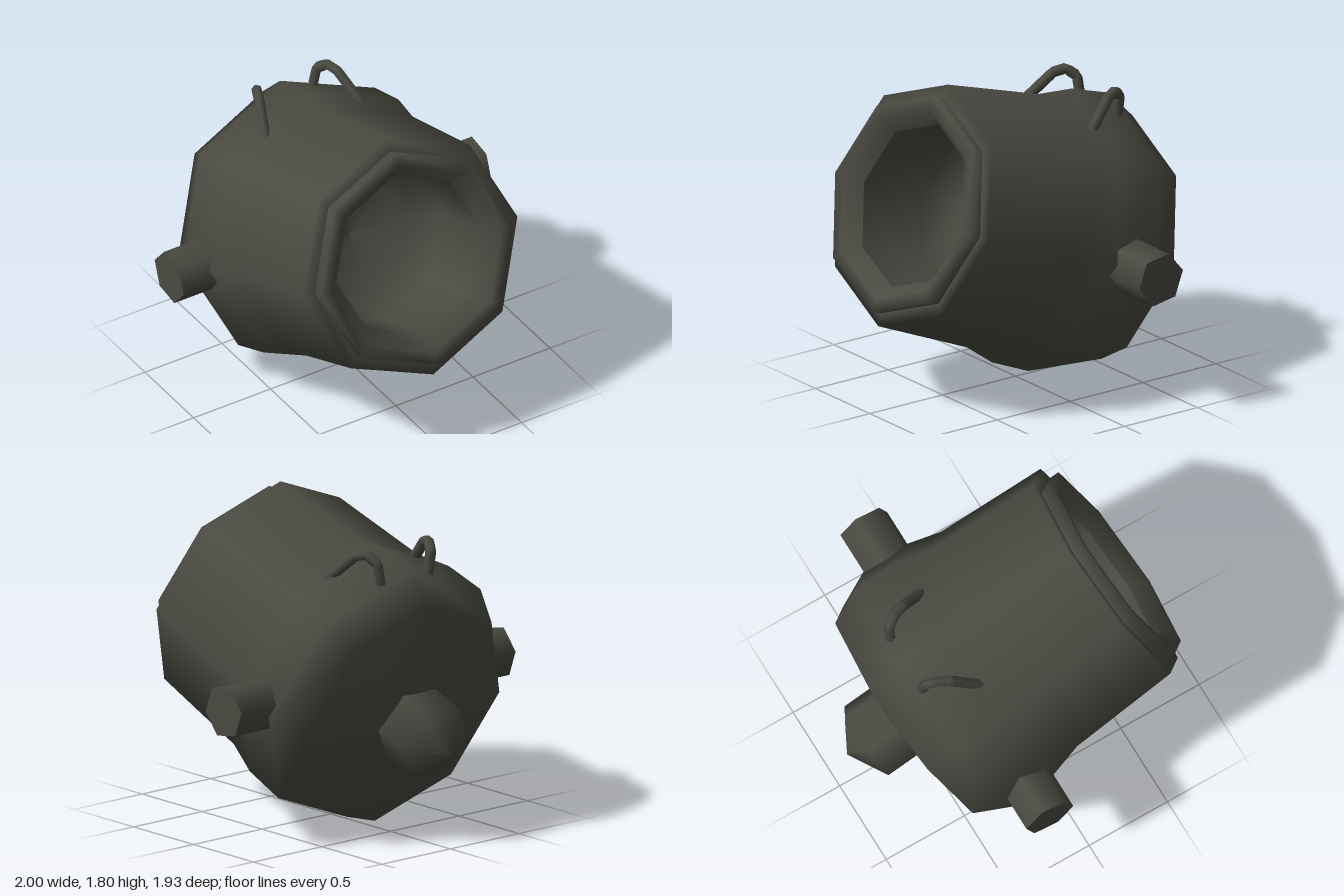
import * as THREE from 'three';

export function createModel() {
  const model = new THREE.Group();
  const iron = new THREE.MeshStandardMaterial({ color: 0x4a4a42 });
  iron.name = 'dark iron';
  const centreX = -0.025;

  const add = (parent, name, geometry) => {
    const mesh = new THREE.Mesh(geometry, iron);
    mesh.name = name;
    parent.add(mesh);
    return mesh;
  };
  // Profile points are [radius, distance along the barrel axis]
  const lathe = (points, sides, start = 0) =>
    new THREE.LatheGeometry(points.map(p => new THREE.Vector2(...p)), sides, start);

  // Barrel group: local y runs along the barrel, tilted 20 degrees upward
  const barrel = new THREE.Group();
  barrel.name = 'barrel';
  barrel.position.set(centreX, 0.68, -0.58);
  barrel.rotation.x = THREE.MathUtils.degToRad(70);
  model.add(barrel);

  // Eight-sided shell with a shallow cone at the back and a step at the front
  add(barrel, 'barrelShell', lathe([
    [0, -0.1], [0.2, -0.08], [0.7, 0], [0.803, 0.213], [0.79, 0.48],
    [0.73, 0.69], [0.697, 1.346], [0.62, 1.35],
  ], 8));
  add(barrel, 'muzzleLip', lathe([[0.622, 1.345], [0.622, 1.42], [0.55, 1.42], [0.47, 1.33]], 8));
  add(barrel, 'bore', lathe([[0.47, 1.33], [0.47, 0.9], [0.32, 0.74], [0, 0.68]], 8));

  // Six-sided knob at the back
  add(barrel, 'rearKnob', lathe([[0, -0.42], [0.235, -0.287], [0.235, 0]], 6, Math.PI / 2))
    .position.z = 0.02;

  // Side pivots
  for (const side of [1, -1]) {
    const outer = side - centreX;
    const inner = side * 0.6;
    const pivot = add(barrel, side > 0 ? 'leftPivot' : 'rightPivot',
      new THREE.CylinderGeometry(0.152, 0.152, Math.abs(outer - inner), 6));
    pivot.rotation.z = Math.PI / 2;
    pivot.position.set((outer + inner) / 2, 0.35, 0);
  }

  // Bent lifting handles on top
  for (const side of [1, -1]) {
    const points = [
      [0.315, 1.43, -0.29], [0.305, 1.465, -0.325], [0.253, 1.595, -0.465], [0.228, 1.61, -0.53],
      [0.195, 1.565, -0.585], [0.165, 1.42, -0.59],
    ].map(([x, y, z]) => new THREE.Vector3(centreX + side * x, y, z));
    const path = new THREE.CurvePath();
    for (let i = 1; i < points.length; i++) path.add(new THREE.LineCurve3(points[i - 1], points[i]));
    add(model, side > 0 ? 'leftHandle' : 'rightHandle', new THREE.TubeGeometry(path, 24, 0.03, 6));
  }
  return model;
}
